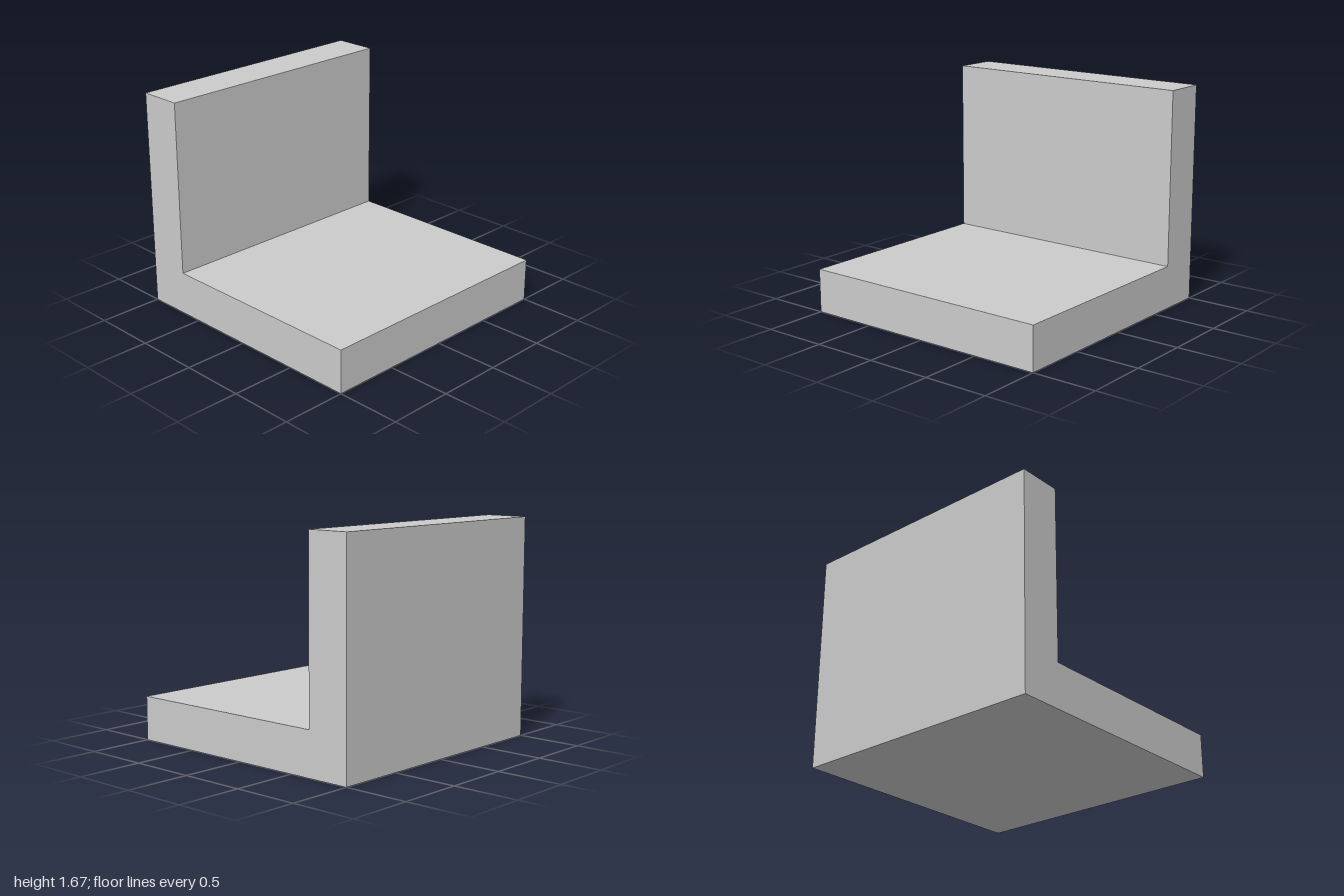
import * as THREE from 'three';

const WIDTH = 2, DEPTH = 2, HEIGHT = 5 / 3, THICKNESS = 1 / 3;

export function createModel() {
  const group = new THREE.Group();
  group.name = 'angleBracket';

  // L-shaped side profile: x is depth (front positive), y is up
  const front = DEPTH / 2, back = -DEPTH / 2;
  const profile = new THREE.Shape([
    [back, 0], [front, 0], [front, THICKNESS],
    [back + THICKNESS, THICKNESS], [back + THICKNESS, HEIGHT], [back, HEIGHT],
  ].map(([z, y]) => new THREE.Vector2(z, y)));

  // Base slab and upright back wall as one solid, swept across the width
  const geometry = new THREE.ExtrudeGeometry(profile, { depth: WIDTH, bevelEnabled: false });
  geometry.translate(0, 0, -WIDTH / 2);
  geometry.rotateY(-Math.PI / 2);

  const body = new THREE.Mesh(
    geometry,
    new THREE.MeshStandardMaterial({ color: 0xcccccc, flatShading: true }),
  );
  body.name = 'baseAndBackWall';
  group.add(body);
  return group;
}
